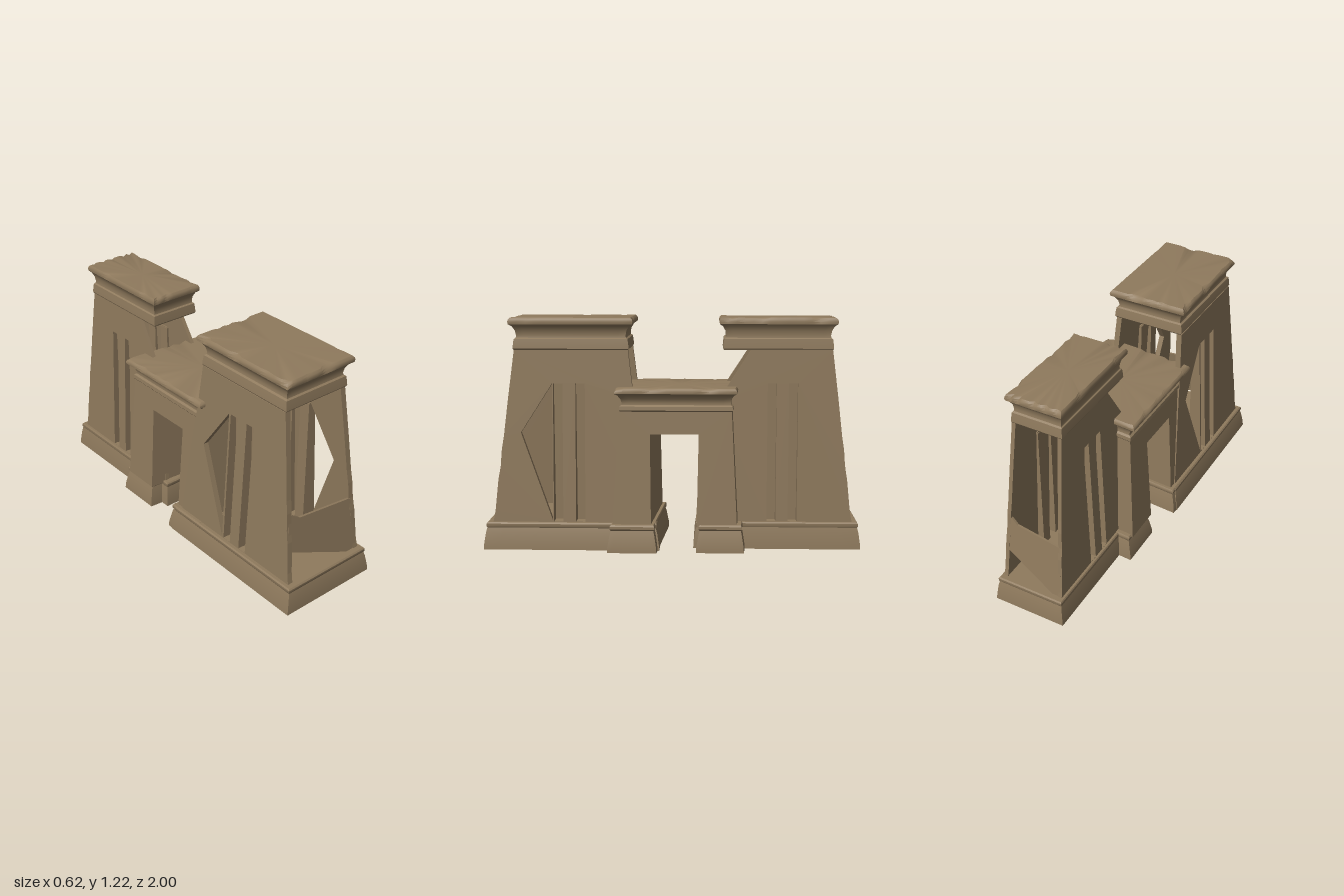
import * as THREE from 'three';
import { toCreasedNormals } from 'three/addons/utils/BufferGeometryUtils.js';

const sandstone = new THREE.MeshStandardMaterial({ color: 0x8f7a5d, side: THREE.DoubleSide });
sandstone.name = 'sandstone';

let seed = 7;
const random = () => (seed = (seed * 16807) % 2147483647) / 2147483647;

const lerp = THREE.MathUtils.lerp;
// Half sizes of the battered walls at height y
const wallHalfX = (y) => lerp(0.245, 0.195, (y - 0.14) / 0.915);
const wallHalfZ = (y) => lerp(0.42, 0.3, (y - 0.14) / 0.915);

function mesh(name, geometry) {
  const m = new THREE.Mesh(geometry, sandstone);
  m.name = name;
  return m;
}

// Rectangular rings [halfX, halfZ, y, chipping] joined into one moulded block
function loft(rows, hollow = false, n = 10) {
  const unit = [];
  const corners = [[-1, 1], [1, 1], [1, -1], [-1, -1]];
  for (let s = 0; s < 4; s++) {
    const a = corners[s], b = corners[(s + 1) % 4];
    for (let i = 0; i < n; i++) unit.push([lerp(a[0], b[0], i / n), lerp(a[1], b[1], i / n)]);
  }
  const chips = unit.map(() => (random() > 0.75 ? random() : 0.05 * random()));
  const rings = rows.map(([hx, hz, y, chip = 0]) => unit.map(([u, v], i) =>
    [u * (hx - chip * chips[i]), y - 0.12 * chip * chips[i], v * (hz - chip * chips[i])]));
  const pos = [];
  const tri = (...p) => p.forEach((q) => pos.push(...q));
  const count = unit.length;
  const last = hollow ? rings.length : rings.length - 1;
  for (let j = 0; j < last; j++) {
    const lo = rings[j], hi = rings[(j + 1) % rings.length];
    for (let i = 0; i < count; i++) {
      const k = (i + 1) % count;
      tri(lo[i], lo[k], hi[k]);
      tri(lo[i], hi[k], hi[i]);
    }
  }
  if (!hollow) {
    const bottom = rings[0], top = rings[rings.length - 1];
    const y0 = rows[0][2], y1 = rows[rows.length - 1][2];
    for (let i = 0; i < count; i++) {
      const k = (i + 1) % count;
      tri([0, y0, 0], bottom[k], bottom[i]);
      tri([0, y1, 0], top[i], top[k]);
    }
  }
  const g = new THREE.BufferGeometry();
  g.setAttribute('position', new THREE.Float32BufferAttribute(pos, 3));
  return toCreasedNormals(g, 0.6);
}

// Extruded outline whose vertices are then moved by a rule
function plate(outline, holes, depth, rule) {
  const vec = (pts) => pts.map(([a, b]) => new THREE.Vector2(a, b));
  const shape = new THREE.Shape(vec(outline));
  holes.forEach((h) => shape.holes.push(new THREE.Path(vec(h))));
  const g = new THREE.ExtrudeGeometry(shape, { depth, bevelEnabled: false });
  const p = g.attributes.position;
  for (let i = 0; i < p.count; i++) p.setXYZ(i, ...rule(p.getX(i), p.getY(i), p.getZ(i)));
  g.computeVertexNormals();
  return g;
}

const slotHalf = 0.025, slotTop = 0.88, slotBack = 0.165;

// Long battered wall with two flagstaff slots and broken openings
function longWall(side, slotCentres, extraHoles, brokenCorner) {
  const inner = brokenCorner
    ? [[-0.15, 1.055], [-wallHalfZ(0.78), 0.78]]
    : [[-0.3, 1.055], [-0.33, 0.8], [-0.35, 0.68]];
  const outline = [[-0.42, 0.14], [0.42, 0.14], [0.408, 0.2], [0.39, 0.37], [0.377, 0.44],
    [0.37, 0.53], [0.358, 0.6], [0.335, 0.79], [0.3, 1.055], ...inner];
  const slots = slotCentres.map((c) => [[c - slotHalf, 0.145], [c + slotHalf, 0.145],
    [c + slotHalf, slotTop], [c - slotHalf, slotTop]]);
  const turn = (pts) => pts.map(([z, y]) => [-side * z, y]);
  const g = plate(turn(outline), [...slots, ...extraHoles].map(turn), 0.03,
    (a, b, c) => [a, b, c - 0.03 + wallHalfX(b)]);
  return g.rotateY(side * Math.PI / 2);
}

// Upright lining behind one flagstaff slot
function slotLining(side, centre) {
  const group = new THREE.Group();
  group.name = 'flagstaffSlot';
  const back = mesh('slotBack', new THREE.BoxGeometry(0.008, slotTop - 0.11, 0.062));
  back.position.set(side * slotBack, (slotTop + 0.11) / 2, centre);
  group.add(back);
  const cheek = [[slotBack, 0.11], [wallHalfX(0.11) - 0.02, 0.11],
    [wallHalfX(slotTop) - 0.01, slotTop], [slotBack, slotTop]].map(([x, y]) => [side * x, y]);
  for (const e of [-1, 1]) {
    const m = mesh('slotCheek', plate(cheek, [], 0.006, (a, b, c) => [a, b, c - 0.003]));
    m.position.z = centre + e * (slotHalf + 0.003);
    group.add(m);
  }
  for (const y of [0.113, slotTop + 0.003]) {
    const w = wallHalfX(y) - slotBack - 0.02;
    const m = mesh('slotEnd', new THREE.BoxGeometry(w, 0.006, 0.062));
    m.position.set(side * (slotBack + w / 2), y, centre);
    group.add(m);
  }
  return group;
}

function tower(name, slotCentres, leftHoles, rightHoles, brokenCorner) {
  const group = new THREE.Group();
  group.name = name;
  // Hollow moulded plinth and its floor
  group.add(mesh('plinth', loft([[0.285, 0.467, 0], [0.282, 0.465, 0.03], [0.271, 0.456, 0.09],
    [0.264, 0.449, 0.115], [0.268, 0.453, 0.122], [0.268, 0.453, 0.136], [0.262, 0.447, 0.143],
    [0.215, 0.39, 0.143], [0.245, 0.43, 0]], true)));
  const floor = mesh('floor', new THREE.BoxGeometry(0.44, 0.008, 0.79));
  floor.position.y = 0.139;
  group.add(floor);
  // Side walls
  group.add(mesh('wallLeft', longWall(1, slotCentres, leftHoles, brokenCorner)));
  group.add(mesh('wallRight', longWall(-1, slotCentres, rightHoles, brokenCorner)));
  for (const side of [-1, 1]) for (const c of slotCentres) group.add(slotLining(side, c));
  // Remains of the outer end wall
  group.add(mesh('brokenEndWall', plate([[-0.215, 0.5], [-0.19, 0.51], [-0.14, 0.478], [0.21, 0.44],
    [0.235, 0.145], [0.165, 0.145], [-0.228, 0.32]], [], 0.012,
  (a, b, c) => [a, b, c - 0.014 + wallHalfZ(b)])));
  // Roll moulding and flared cornice
  const cornice = mesh('cornice', loft([[0.195, 0.3, 1.055], [0.2, 0.305, 1.062], [0.198, 0.303, 1.085],
    [0.194, 0.299, 1.112], [0.184, 0.29, 1.118], [0.182, 0.288, 1.13], [0.187, 0.293, 1.155],
    [0.2, 0.306, 1.178], [0.217, 0.324, 1.19], [0.22, 0.327, 1.203, 0.008],
    [0.217, 0.324, 1.215, 0.014], [0.209, 0.315, 1.224, 0.02]], false, 14));
  cornice.position.x = 0.004;
  group.add(cornice);
  return group;
}

function gateway() {
  const group = new THREE.Group();
  group.name = 'gateway';
  const halfX = (y) => lerp(0.267, 0.23, (y - 0.14) / 0.6);
  // Jambs and lintel around the passage, slightly skewed
  const outline = [[0.293, 0.13], [0.258, 0.75], [-0.328, 0.75], [-0.362, 0.13],
    [-0.15, 0.13], [-0.157, 0.62], [0.098, 0.62], [0.09, 0.13]];
  group.add(mesh('jambsAndLintel', plate(outline, [], 1, (a, b, c) => {
    const x = (0.5 - c) * 2 * halfX(b);
    return [x, b, a + 0.07 * x];
  })));
  const skew = (g) => {
    const p = g.attributes.position;
    for (let i = 0; i < p.count; i++) p.setZ(i, p.getZ(i) + 0.07 * p.getX(i));
    return g;
  };
  // Feet under the jambs
  for (const [x, z, hx, hz] of [[0.002, 0.187, 0.31, 0.13], [0.01, -0.274, 0.286, 0.126]]) {
    const foot = mesh('jambFoot', skew(loft([[hx, hz, 0], [hx - 0.002, hz - 0.002, 0.03],
      [hx - 0.015, hz - 0.012, 0.09], [hx - 0.022, hz - 0.018, 0.115], [hx - 0.016, hz - 0.013, 0.123],
      [hx - 0.016, hz - 0.013, 0.137], [hx - 0.022, hz - 0.018, 0.145]])));
    foot.position.set(x, 0, z);
    group.add(foot);
  }
  // Gate cornice
  const cornice = mesh('gateCornice', skew(loft([[0.23, 0.292, 0.738], [0.236, 0.297, 0.745],
    [0.234, 0.296, 0.765], [0.224, 0.286, 0.773], [0.223, 0.285, 0.785], [0.23, 0.29, 0.805],
    [0.248, 0.303, 0.825], [0.266, 0.318, 0.835], [0.268, 0.32, 0.848, 0.008],
    [0.264, 0.316, 0.857, 0.014], [0.257, 0.31, 0.863, 0.018]], false, 14)));
  cornice.position.z = -0.037;
  group.add(cornice);
  return group;
}

export function createModel() {
  const model = new THREE.Group();
  model.name = 'ruinedTempleGate';
  const outerBreak = [[0.267, 0.62], [0.1, 0.88], [0.1, 0.15]];
  const innerBreak = [[-0.267, 0.62], [-0.085, 0.15], [-0.085, 0.88]];
  const front = tower('frontTower', [0.07, -0.048], [outerBreak], [innerBreak], false);
  front.position.set(-0.027, 0, 0.533);
  // The far tower is narrower and turned about
  const rear = tower('rearTower', [0.086, -0.032], [], [], true);
  rear.rotation.y = Math.PI;
  rear.scale.set(0.7, 1, 0.95);
  rear.position.set(-0.004, 0, -0.556);
  model.add(front, rear, gateway());
  return model;
}
